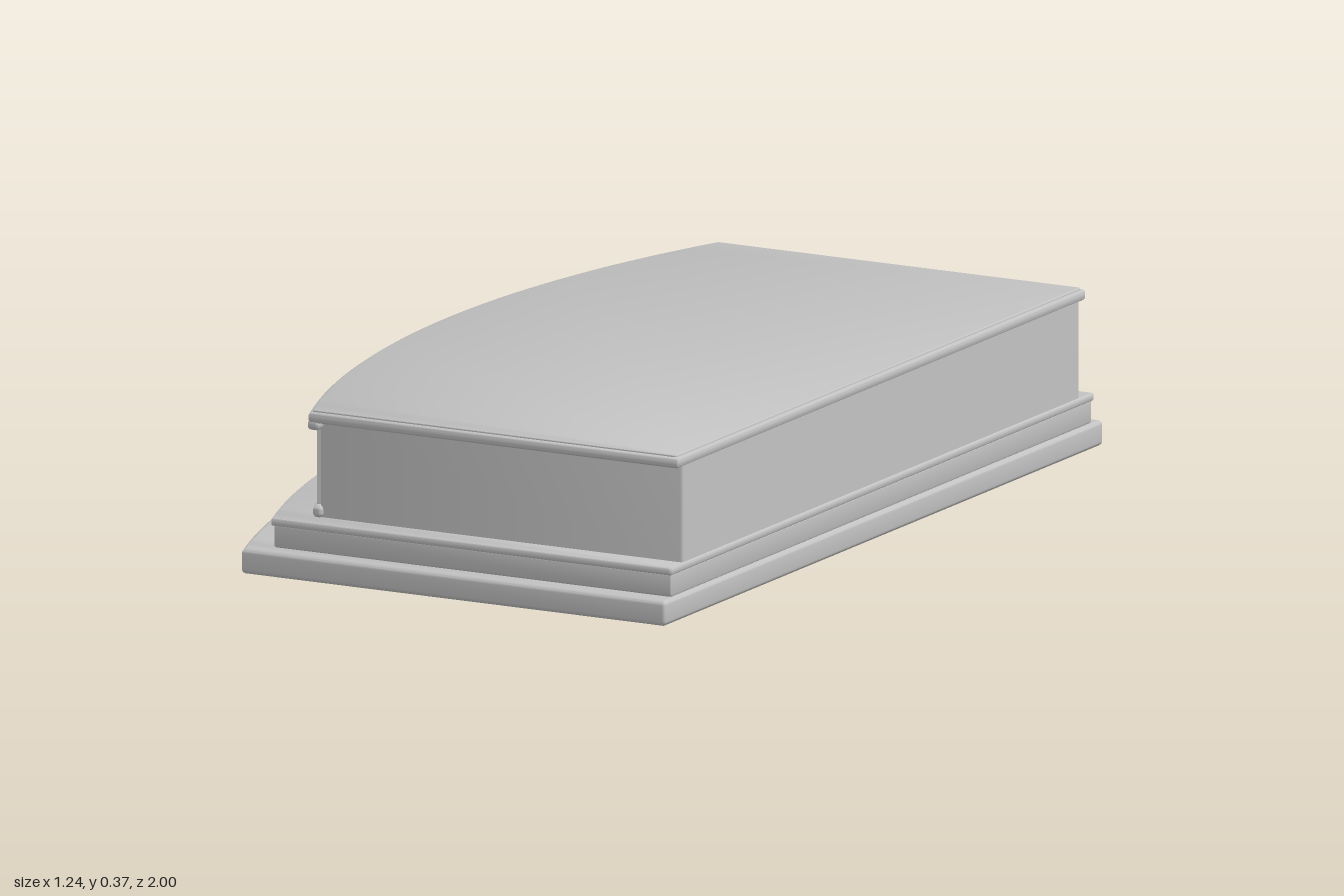
import * as THREE from 'three';
import { toCreasedNormals } from 'three/addons/utils/BufferGeometryUtils.js';

// Point on the bowed side: t runs -1..1 from one end of the chord to the other.
function bowPoint(corner, mid, halfZ, t) {
  const sag = corner - mid;
  const r = (halfZ * halfZ + sag * sag) / (2 * sag);
  const a = Math.asin(halfZ / r) * t;
  return { x: mid + r - r * Math.cos(a), z: r * Math.sin(a), angle: a };
}

// Plan outline: straight back and ends, bowed side towards -x.
function outline(corner, mid, back, halfZ) {
  const s = new THREE.Shape();
  const c = 0.008;
  s.moveTo(back - c, -halfZ);
  s.quadraticCurveTo(back, -halfZ, back, -halfZ + c);
  s.lineTo(back, halfZ - c);
  s.quadraticCurveTo(back, halfZ, back - c, halfZ);
  for (let i = 0; i <= 40; i++) {
    const p = bowPoint(corner, mid, halfZ, 1 - i / 20);
    s.lineTo(p.x, p.z);
  }
  s.closePath();
  return s;
}

export function createModel() {
  const stage = new THREE.Group();
  stage.name = 'bowFrontStage';
  const grey = new THREE.MeshStandardMaterial({ color: 0xc2c2c2 });
  grey.name = 'stone grey';

  // Horizontal slab between two heights with rounded edges.
  function slab(name, y0, y1, corner, mid, back, halfZ, bevel) {
    const geo = new THREE.ExtrudeGeometry(outline(corner, mid, back, halfZ), {
      depth: y1 - y0 - 2 * bevel,
      bevelEnabled: bevel > 0,
      bevelThickness: bevel,
      bevelSize: bevel,
      bevelOffset: -bevel,
      bevelSegments: 4,
      curveSegments: 4,
    });
    geo.translate(0, 0, bevel);
    geo.rotateX(-Math.PI / 2);
    const mesh = new THREE.Mesh(toCreasedNormals(geo, 0.6), grey);
    mesh.name = name;
    mesh.position.y = y0;
    stage.add(mesh);
  }

  // Stepped plinth
  slab('baseStep', 0, 0.058, -0.445, -0.62, 0.618, 1.0, 0.011);
  slab('upperStep', 0.058, 0.112, -0.385, -0.553, 0.612, 0.96, 0.006);
  slab('upperStepLip', 0.108, 0.126, -0.39, -0.56, 0.615, 0.966, 0.005);

  // Main body
  slab('body', 0.124, 0.345, -0.298, -0.46, 0.61, 0.906, 0);

  // Mouldings above and below the bowed face
  slab('lowerMoulding', 0.125, 0.154, -0.312, -0.488, -0.292, 0.917, 0.011);
  slab('upperMoulding', 0.325, 0.35, -0.318, -0.491, -0.292, 0.93, 0.01);

  // Deck with a rounded edge and a thin top layer
  slab('deckEdge', 0.342, 0.367, -0.315, -0.49, 0.613, 0.932, 0.009);
  slab('deckTop', 0.362, 0.371, -0.308, -0.48, 0.605, 0.924, 0.003);

  // Upright slats along the bowed face
  const count = 22;
  const slats = new THREE.Group();
  slats.name = 'slats';
  const slatGeo = new THREE.BoxGeometry(0.02, 0.186, 0.07);
  for (let i = 0; i < count; i++) {
    const p = bowPoint(-0.298, -0.46, 0.906, ((i + 0.5) / count) * 2 - 1);
    const slat = new THREE.Mesh(slatGeo, grey);
    slat.name = 'slat';
    slat.position.set(p.x, 0.239, p.z);
    slat.rotation.y = p.angle;
    slats.add(slat);
  }
  stage.add(slats);

  return stage;
}
